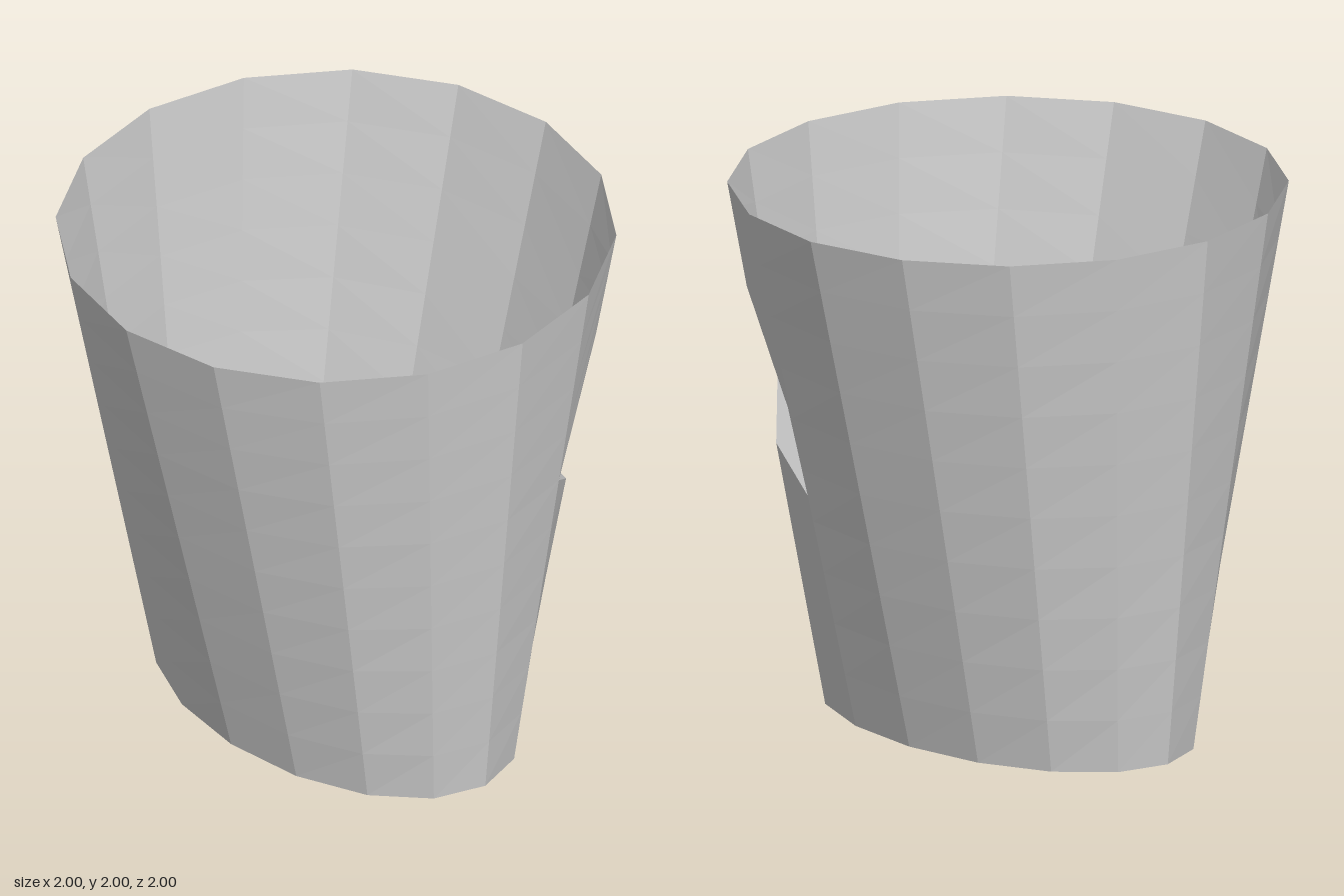
import * as THREE from 'three';

const SIDES = 16, ROWS = 10, HEIGHT = 2;

// Point on straight wall column i at height y: narrow oval foot, round rim
function wallPoint(i, y) {
  const a = (i / SIDES) * Math.PI * 2, t = y / HEIGHT;
  return [
    THREE.MathUtils.lerp(0.5, 1, t) * Math.cos(a),
    y,
    THREE.MathUtils.lerp(0.8, 1, t) * Math.sin(a),
  ];
}

// Strip of wall between columns i and i + 1, each with its own height range
function band(out, i, [lo0, hi0], [lo1, hi1], rows) {
  const { lerp } = THREE.MathUtils;
  for (let r = 0; r < rows; r++) {
    const s = r / rows, e = (r + 1) / rows;
    const right = wallPoint(i, lerp(lo0, hi0, s)), rightTop = wallPoint(i, lerp(lo0, hi0, e));
    const left = wallPoint(i + 1, lerp(lo1, hi1, s)), leftTop = wallPoint(i + 1, lerp(lo1, hi1, e));
    out.push(...left, ...right, ...rightTop, ...left, ...rightTop, ...leftTop);
  }
}

function makeMesh(name, positions, material) {
  const geometry = new THREE.BufferGeometry();
  geometry.setAttribute('position', new THREE.Float32BufferAttribute(positions, 3));
  geometry.computeVertexNormals();
  const mesh = new THREE.Mesh(geometry, material);
  mesh.name = name;
  return mesh;
}

export function createModel() {
  const group = new THREE.Group();
  group.name = 'dentedOpenVessel';
  const material = new THREE.MeshStandardMaterial({
    color: 0xcccccc, flatShading: true, side: THREE.DoubleSide,
  });

  // Open tapered wall, leaving a notch around column 2 for the dent
  const wall = [];
  for (let i = 0; i < SIDES; i++) {
    if (i === 1) {
      band(wall, i, [0, 0.9], [0, 1.0], 5);
      band(wall, i, [1.2, 2], [1.6, 2], 4);
    } else if (i === 2) {
      band(wall, i, [0, 1.0], [0, 1.2], 5);
      band(wall, i, [1.6, 2], [1.2, 2], 4);
    } else {
      band(wall, i, [0, HEIGHT], [0, HEIGHT], ROWS);
    }
  }
  group.add(makeMesh('wall', wall, material));

  // Dent: sloping upper facet, pressed-in facet and small lower ledge
  const peak = wallPoint(2, 1.6), left = wallPoint(3, 1.2), right = wallPoint(1, 1.2);
  const lowRight = wallPoint(1, 0.9), lip = wallPoint(2, 1.0);
  group.add(makeMesh('dentSlope', [...left, ...right, ...peak], material));
  group.add(makeMesh('dentBack', [...left, ...lowRight, ...right], material));
  group.add(makeMesh('dentLedge', [...left, ...lip, ...lowRight], material));

  return group;
}
